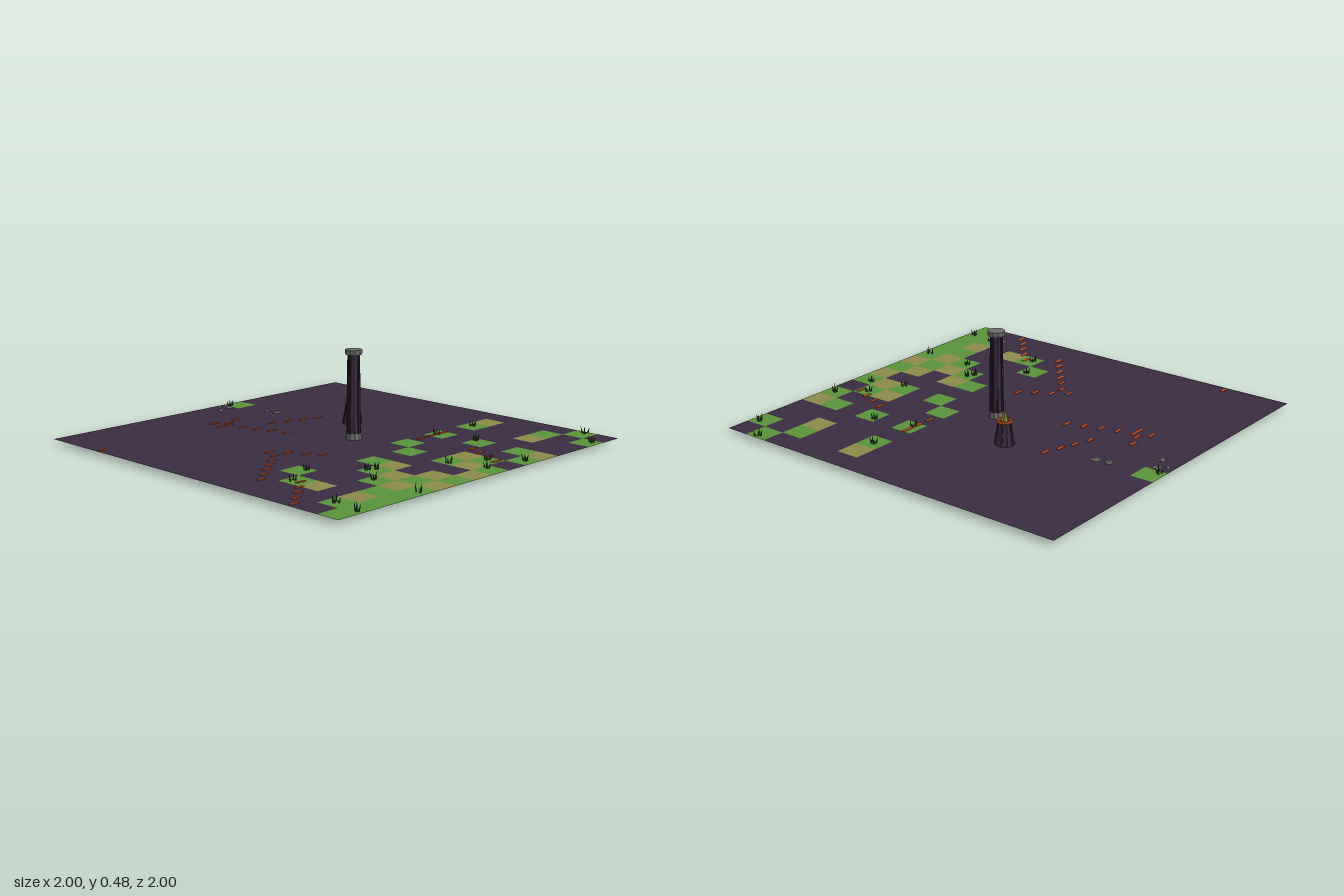
import * as THREE from 'three';
import { mergeGeometries } from 'three/addons/utils/BufferGeometryUtils.js';

const GROUND = 0.025;
const TILE = 0.125;

const mat = (name, color, opts = {}) => {
  const m = new THREE.MeshStandardMaterial({ color, flatShading: true, ...opts });
  m.name = name;
  return m;
};

// Tile map rows: g = grass, o = dry grass, . = bare ground
const TILE_ROWS = {
  0: '.........g......',
  10: '...g.....g.g.go.',
  11: '..g...g.g.......',
  12: '..o..go....g....',
  13: '....go..go...og.',
  14: '.gogogo.og.g...g',
  15: 'gggggogog.go..g.',
};

// x, z of each ember strip
const EMBERS = [
  [-0.963, -0.644], [-0.21, -0.69], [-0.15, -0.644], [-0.07, -0.677], [-0.23, -0.61], [-0.18, -0.61],
  [-0.16, -0.527], [-0.134, -0.444], [-0.107, -0.36], [-0.08, -0.275], [0.02, -0.487], [0.107, -0.46],
  [0.187, -0.433], [0.273, -0.406], [-0.422, -0.035], [-0.45, 0.03], [-0.37, 0.037], [-0.52, 0.086],
  [-0.326, 0.112], [-0.583, 0.14], [-0.273, 0.184], [-0.652, 0.195], [-0.722, 0.25], [-0.79, 0.305],
  [0.305, 0.294], [0.39, 0.294], [0.43, 0.294], [0.48, 0.294], [-0.695, 0.463], [-0.76, 0.52],
  [-0.824, 0.58], [-0.893, 0.636], [-0.957, 0.695], [0.32, 0.618], [0.283, 0.695], [0.25, 0.775], [0.21, 0.855],
];

// x, z of each grass tuft
const TUFTS = [
  [-0.53, 0.33], [-0.706, 0.42], [-0.33, 0.527], [-0.294, 0.55], [-0.43, 0.665], [-0.82, 0.81],
  [-0.85, 0.96], [-0.45, 0.955], [0.027, 0.72], [0.086, 0.9], [0.2, 0.81], [0.315, 0.944],
  [0.84, 0.955], [0.975, 0.815], [0.465, 0.52], [0.42, 0.296], [0.7, 0.307], [0.144, -0.965],
];

// x, z, radius of each rock
const ROCKS = [
  [0.012, -0.893, 0.022], [0.07, -0.965, 0.014], [0.1, -0.925, 0.026], [0.19, -0.715, 0.024], [0.2, -0.647, 0.028],
];

function seeded(seed) {
  return () => {
    seed = (seed * 16807) % 2147483647;
    return seed / 2147483647;
  };
}

export function createModel() {
  const model = new THREE.Group();
  const rand = seeded(4217);

  const soil = mat('dark purple soil', 0x3b2c41, { side: THREE.DoubleSide });
  const grass = mat('grass green', 0x58913a, { side: THREE.DoubleSide });
  const dry = mat('dry olive', 0x8b8a4a, { side: THREE.DoubleSide });
  const ember = mat('ember orange', 0xcc4f22);
  const blade = mat('dark blade green', 0x2c4a22);
  const stone = mat('grey stone', 0x6c6c69);
  const purple = mat('purple stone', 0x3a2a40);
  const shadow = mat('deep purple', 0x2a1e2f);
  const spire = mat('spire olive', 0x7c7c3a);

  const add = (parent, name, geo, material, x = 0, y = 0, z = 0) => {
    const m = new THREE.Mesh(geo, material);
    m.name = name;
    m.position.set(x, y, z);
    parent.add(m);
    return m;
  };
  const group = (name, x, y, z) => {
    const g = new THREE.Group();
    g.name = name;
    g.position.set(x, y, z);
    model.add(g);
    return g;
  };

  // Ground: one merged sheet of tiles per colour
  const tiles = { '.': [], g: [], o: [] };
  for (let row = 0; row < 16; row++) {
    for (let col = 0; col < 16; col++) {
      const key = (TILE_ROWS[row] || '.'.repeat(16))[col];
      tiles[key].push(new THREE.PlaneGeometry(TILE, TILE).rotateX(-Math.PI / 2)
        .translate(-1 + (col + 0.5) * TILE, GROUND, -1 + (row + 0.5) * TILE));
    }
  }
  add(model, 'bareGround', mergeGeometries(tiles['.']), soil);
  add(model, 'grassTiles', mergeGeometries(tiles.g), grass);
  add(model, 'dryTiles', mergeGeometries(tiles.o), dry);

  // Ember strips glowing in the ground
  const strips = EMBERS.map(([x, z]) => new THREE.BoxGeometry(0.053, 0.006, 0.016).translate(x, GROUND, z));
  add(model, 'emberStrips', mergeGeometries(strips), ember);

  // Grass tufts of thin leaning blades
  const blades = [];
  for (const [x, z] of TUFTS) {
    for (let i = 0; i < 4; i++) {
      const h = 0.026 + rand() * 0.016;
      const a = (i + rand() * 0.7) * Math.PI / 2;
      const r = 0.004 + rand() * 0.012;
      blades.push(new THREE.ConeGeometry(0.005, h, 4).translate(0, h / 2, 0)
        .rotateZ(-0.15 - rand() * 0.2).rotateY(a)
        .translate(x + Math.cos(a) * r, GROUND, z - Math.sin(a) * r));
    }
  }
  add(model, 'grassTufts', mergeGeometries(blades), blade);

  // Half-sunk rocks
  for (const [x, z, r] of ROCKS) {
    const rock = add(model, 'rock', new THREE.DodecahedronGeometry(r), stone, x, 0.019, z);
    rock.scale.y = 0.018 / r;
    rock.rotation.y = rand() * 6;
  }

  // Pillar: base, ribbed shaft and cap
  const pillar = group('pillar', 0.062, 0, 0.06);
  add(pillar, 'pillarBase', new THREE.CylinderGeometry(0.037, 0.041, 0.035, 10), stone, 0, 0.039, 0);
  add(pillar, 'pillarShaft', new THREE.CylinderGeometry(0.029, 0.034, 0.4, 10), purple, 0, 0.256, 0);
  add(pillar, 'pillarCap', new THREE.CylinderGeometry(0.044, 0.042, 0.025, 10), stone, 0, 0.4675, 0);
  for (let i = 0; i < 8; i++) {
    const a = i * Math.PI / 4;
    const rib = add(pillar, 'pillarRib', new THREE.BoxGeometry(0.006, 0.4, 0.006), shadow,
      Math.sin(a) * 0.031, 0.256, Math.cos(a) * 0.031);
    rib.rotation.order = 'YXZ';
    rib.rotation.set(-0.0125, a, 0);
  }

  // Shrine: tapered body, ember ring and pointed spire
  const shrine = group('shrine', 0.31, 0, -0.19);
  add(shrine, 'shrineBody', new THREE.CylinderGeometry(0.033, 0.052, 0.115, 10), purple, 0, 0.0805, 0);
  for (let i = 0; i < 5; i++) {
    const a = (i + 0.5) * Math.PI * 0.4;
    const rib = add(shrine, 'shrineRib', new THREE.BoxGeometry(0.009, 0.108, 0.006), shadow,
      Math.sin(a) * 0.0412, 0.08, Math.cos(a) * 0.0412);
    rib.rotation.order = 'YXZ';
    rib.rotation.set(-0.165, a, 0);
  }
  add(shrine, 'emberRing', new THREE.TorusGeometry(0.033, 0.008, 6, 14).rotateX(Math.PI / 2), ember, 0, 0.141, 0);
  add(shrine, 'shrineSpire', new THREE.ConeGeometry(0.023, 0.068, 6), spire, 0, 0.172, 0);

  return model;
}
